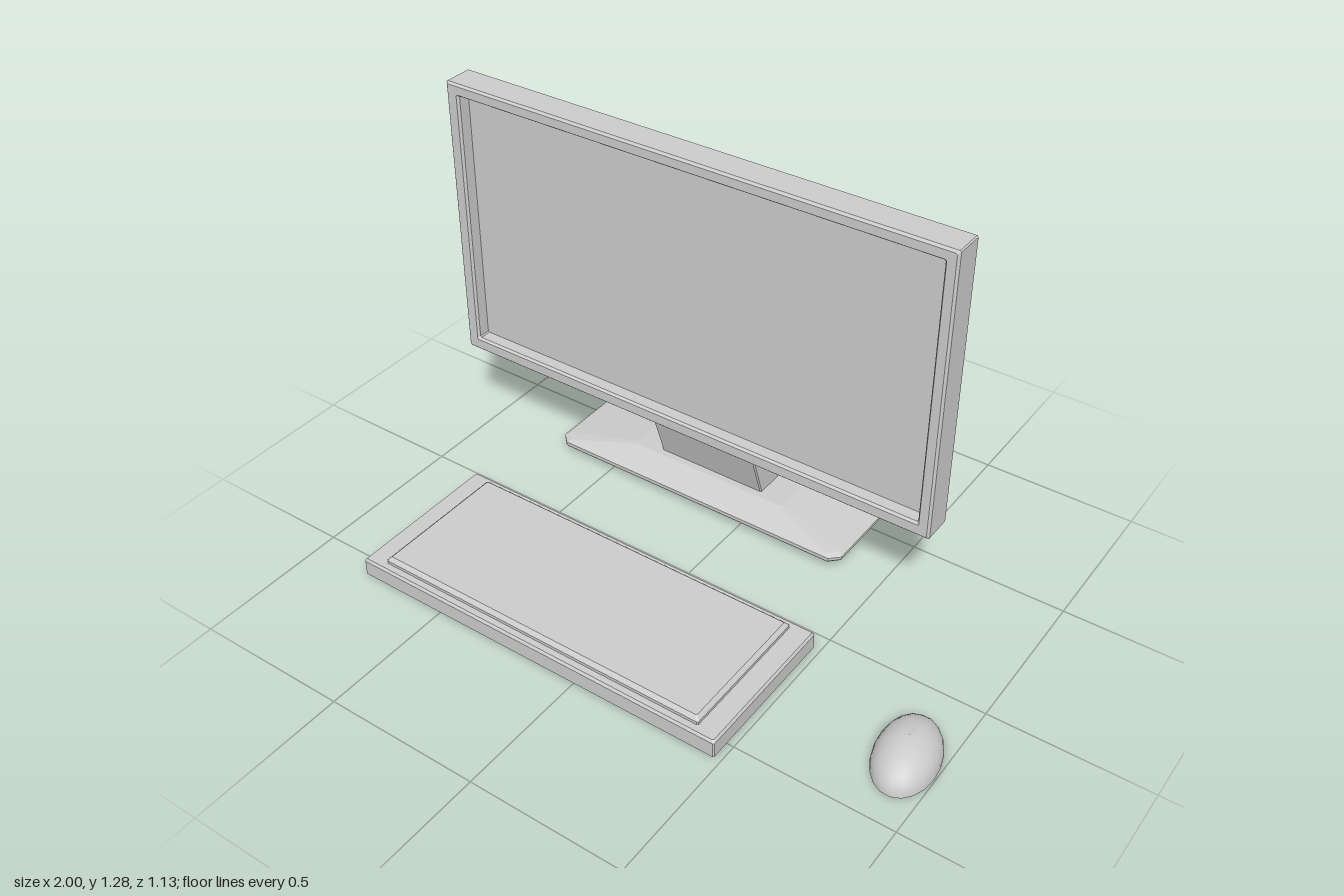
import * as THREE from 'three';

const grey = new THREE.MeshStandardMaterial({ color: 0xcccccc });

function add(parent, geometry, name, material = grey) {
  const mesh = new THREE.Mesh(geometry, material);
  mesh.name = name;
  parent.add(mesh);
  return mesh;
}

// Stacks rectangles with chamfered corners along y and caps both ends.
// Each level is [y, x0, x1, z0, z1, chamfer].
function loft(levels) {
  const pos = [], index = [], n = 8;
  for (const [y, x0, x1, z0, z1, c] of levels) {
    const ring = [
      [x1, z1 - c], [x1, z0 + c], [x1 - c, z0], [x0 + c, z0],
      [x0, z0 + c], [x0, z1 - c], [x0 + c, z1], [x1 - c, z1],
    ];
    for (const [x, z] of ring) pos.push(x, y, z);
  }
  for (let i = 0; i < levels.length - 1; i++) {
    for (let j = 0; j < n; j++) {
      const a = i * n + j, b = i * n + (j + 1) % n;
      index.push(a, b, b + n, a, b + n, a + n);
    }
  }
  const top = (levels.length - 1) * n;
  for (let j = 1; j < n - 1; j++) {
    index.push(0, j + 1, j, top, top + j, top + j + 1);
  }
  const g = new THREE.BufferGeometry();
  g.setAttribute('position', new THREE.Float32BufferAttribute(pos, 3));
  g.setIndex(index);
  const flat = g.toNonIndexed();
  flat.computeVertexNormals();
  return flat;
}

// Rectangle level, optionally shrunk by an inset
const level = (y, [x0, x1, z0, z1], inset = 0, c = 0.004) =>
  [y, x0 + inset, x1 - inset, z0 + inset, z1 - inset, c];

function createMonitor() {
  const monitor = new THREE.Group();
  monitor.name = 'monitor';

  // Lofted backwards from the front, then turned so the stack runs along -z
  const outer = [-1, 0.69, 0.345, 1.28];
  const opening = [-0.955, 0.65, 0.39, 1.24];
  const housing = loft([
    level(0.23, opening),
    level(0.188, opening),
    level(0.18, opening, -0.006),
    level(0.18, outer, 0.007),
    level(0.187, outer),
    level(0.278, outer),
    level(0.285, outer, 0.007),
  ]);
  add(monitor, housing.rotateX(-Math.PI / 2), 'housing');

  const screen = new THREE.BoxGeometry(1.605, 0.85, 0.01);
  add(monitor, screen, 'screen').position.set(-0.1525, 0.815, -0.231);

  const back = loft([
    [0.28, -0.88, 0.57, 0.41, 1.21, 0.004],
    [0.285, -0.88, 0.57, 0.41, 1.21, 0.004],
    [0.355, -0.775, 0.465, 0.468, 1.152, 0.004],
    [0.365, -0.76, 0.45, 0.485, 1.135, 0.004],
  ]);
  add(monitor, back.rotateX(-Math.PI / 2), 'backShell');

  // Slanted neck
  add(monitor, loft([
    [0.08, -0.355, 0.025, -0.463, -0.362, 0.004],
    [0.455, -0.355, 0.025, -0.334, -0.237, 0.004],
  ]), 'standNeck');

  // Foot with a sloping top
  const foot = [-0.7, 0.367, -0.566, -0.252];
  add(monitor, loft([
    level(0.03, foot, 0.005, 0.03),
    level(0.038, foot, 0, 0.03),
    level(0.048, foot, 0, 0.03),
    level(0.056, foot, 0.012, 0.03),
    [0.09, -0.45, 0.115, -0.485, -0.335, 0.01],
  ]), 'standFoot');
  return monitor;
}

function createKeyboard() {
  const keyboard = new THREE.Group();
  keyboard.name = 'keyboard';
  const tray = [-0.8, 0.477, 0.05, 0.562];
  const keys = [-0.73, 0.407, 0.075, 0.536];
  add(keyboard, loft([
    level(0, tray), level(0.05, tray), level(0.058, tray, 0.006),
  ]), 'keyboardTray');
  add(keyboard, loft([
    level(0.05, keys), level(0.068, keys), level(0.08, keys, 0.012),
  ]), 'keyField');
  return keyboard;
}

function createMouse() {
  const mouse = new THREE.Group();
  mouse.name = 'mouse';
  const shell = new THREE.SphereGeometry(1, 20, 10, 0, Math.PI * 2, 0, Math.PI / 2);
  shell.scale(0.094, 0.086, 0.147);
  // Shallow seam between the two buttons
  const p = shell.attributes.position;
  for (let i = 0; i < p.count; i++) {
    if (Math.abs(p.getX(i)) < 0.001 && p.getZ(i) < -0.02 && p.getY(i) > 0.01) {
      p.setY(i, p.getY(i) - 0.002);
    }
  }
  shell.computeVertexNormals();
  add(mouse, shell, 'mouseShell');
  const bottom = new THREE.CircleGeometry(1, 20).rotateX(Math.PI / 2);
  add(mouse, bottom.scale(0.094, 1, 0.147), 'mouseBottom');
  mouse.position.set(0.9, 0, 0.265);
  mouse.rotation.y = 0.2;
  return mouse;
}

export function createModel() {
  const model = new THREE.Group();
  model.name = 'desktopSet';
  model.add(createMonitor(), createKeyboard(), createMouse());
  return model;
}
